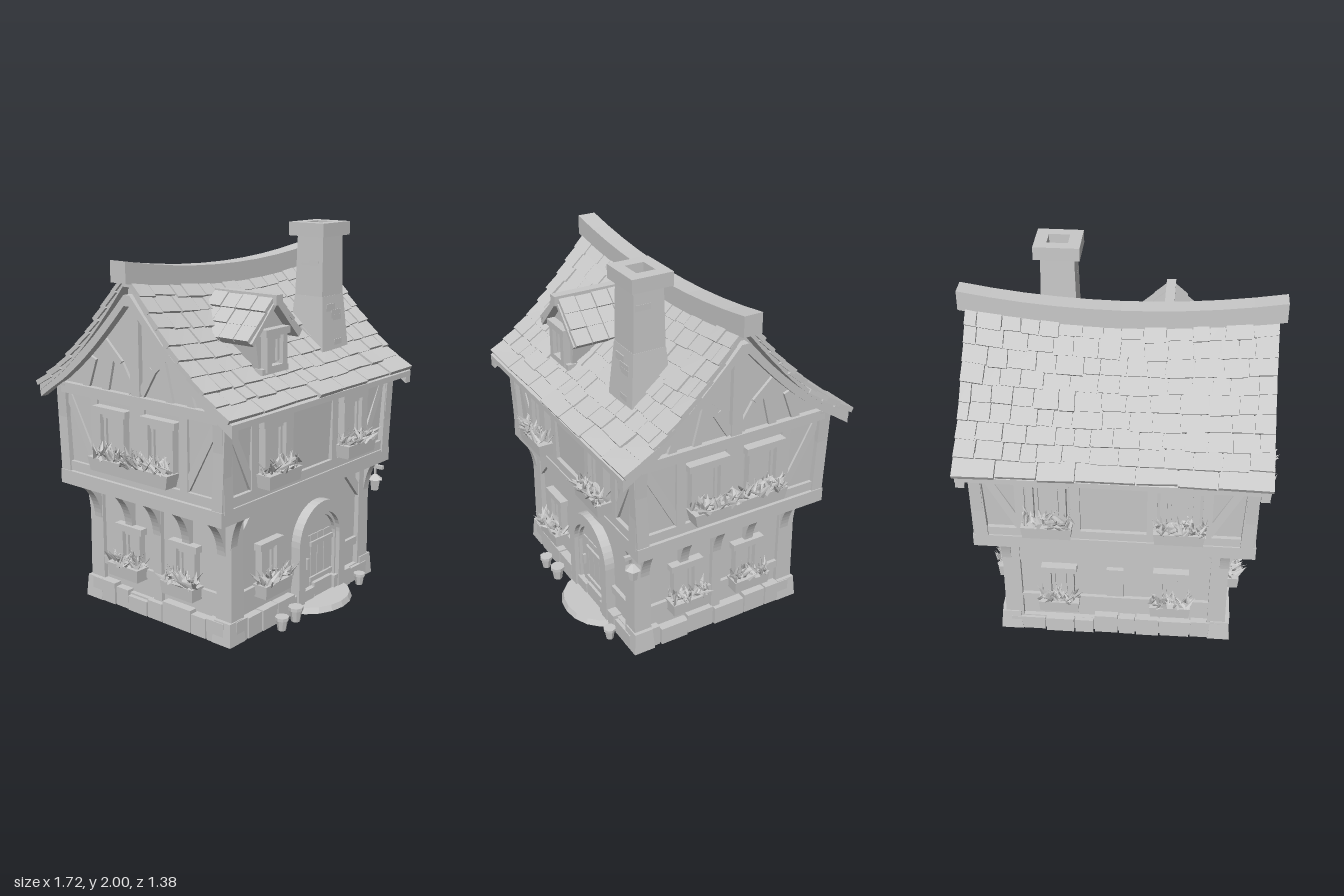
import * as THREE from 'three';
import { mergeGeometries } from 'three/addons/utils/BufferGeometryUtils.js';

const clay = new THREE.MeshStandardMaterial({ color: 0xc8c8c8, flatShading: true });
clay.name = 'light grey';

let seed = 7;
const rnd = (a = 0, b = 1) => {
  seed = (seed * 16807) % 2147483647;
  return a + (b - a) * (seed / 2147483647);
};

function add(parent, name, geo, x = 0, y = 0, z = 0, rx = 0, ry = 0, rz = 0) {
  const m = new THREE.Mesh(geo, clay);
  m.name = name;
  m.position.set(x, y, z);
  m.rotation.set(rx, ry, rz);
  parent.add(m);
  return m;
}
const box = (p, name, w, h, d, x, y, z, rz = 0) =>
  add(p, name, new THREE.BoxGeometry(w, h, d), x, y, z, 0, 0, rz);

function group(parent, name, x = 0, y = 0, z = 0, ry = 0) {
  const g = new THREE.Group();
  g.name = name;
  g.position.set(x, y, z);
  g.rotation.y = ry;
  parent.add(g);
  return g;
}
const polygon = pts => new THREE.Shape(pts.map(p => new THREE.Vector2(...p)));
const extrude = (shape, depth, steps = 1) =>
  new THREE.ExtrudeGeometry(shape, { depth, steps, bevelEnabled: false, curveSegments: 10 });

// Profile given as [z, y], extruded along x and centred
const extrudeX = (pts, depth, steps = 1) =>
  extrude(polygon(pts.map(([z, y]) => [-z, y])), depth, steps).rotateY(Math.PI / 2).translate(-depth / 2, 0, 0);

// Box whose top is scaled, standing on y = 0
function taper(w, h, d, kx, kz = kx) {
  const g = new THREE.BoxGeometry(w, h, d).translate(0, h / 2, 0);
  const p = g.attributes.position;
  for (let i = 0; i < p.count; i++) if (p.getY(i) > h / 2) p.setXYZ(i, p.getX(i) * kx, h, p.getZ(i) * kz);
  return g;
}

// The roof sags in the middle of the ridge
function sag(g) {
  const p = g.attributes.position;
  for (let i = 0; i < p.count; i++) {
    const k = THREE.MathUtils.clamp((p.getY(i) - 1.18) / 0.6, 0, 1);
    p.setY(i, p.getY(i) - 0.07 * k * (1 - (p.getX(i) / 0.8) ** 2));
  }
  g.computeVertexNormals();
  return g;
}

// Timber between two points on a wall
function timber(p, x0, y0, x1, y1, w = 0.05, d = 0.04, z = 0) {
  box(p, 'timber', Math.hypot(x1 - x0, y1 - y0), w, d, (x0 + x1) / 2, (y0 + y1) / 2, z, Math.atan2(y1 - y0, x1 - x0));
}

function windowUnit(p, x, y, w, h, z = 0) {
  const g = group(p, 'window', x, y, z);
  box(g, 'pane', w - 0.07, h - 0.05, 0.008, 0, 0, 0.004);
  for (const s of [-1, 1]) {
    box(g, 'windowJamb', 0.035, h, 0.04, s * (w / 2 - 0.018), 0, 0.02);
    box(g, 'sash', 0.015, h - 0.06, 0.02, s * (w / 2 - 0.05), 0, 0.012);
  }
  box(g, 'lintel', w + 0.03, 0.035, 0.05, 0, h / 2, 0.02);
  box(g, 'sill', w, 0.03, 0.04, 0, -h / 2, 0.02);
  box(g, 'sashTop', w - 0.06, 0.02, 0.02, 0, h / 2 - 0.03, 0.012);
}

function flowerBox(p, x, y, w, z = 0) {
  const g = group(p, 'flowerBox', x, y, z);
  add(g, 'planter', taper(w * 0.94, 0.07, 0.075, 1.06, 1.15), 0, 0, 0.05);
  const leaves = [];
  for (let i = 0; i < w * 210; i++) {
    const leaf = new THREE.ConeGeometry(0.017, rnd(0.06, 0.09), 4).scale(1, 1, 0.4).translate(0, 0.03, 0);
    leaf.rotateY(rnd(0, 6)).rotateX(rnd(-0.7, 1.1)).rotateZ(rnd(-1, 1));
    leaves.push(leaf.translate(rnd(-0.47, 0.47) * w, rnd(0.065, 0.1), rnd(0.02, 0.1)));
  }
  add(g, 'foliage', mergeGeometries(leaves));
}

// Curved bracket under the overhang, reaching outward along z
function bracket(p, x, y, reach, h, w = 0.05) {
  const s = new THREE.Shape();
  s.moveTo(0, 0);
  s.lineTo(-0.025, 0);
  s.quadraticCurveTo(-0.035, h * 0.65, -reach, h);
  s.lineTo(0, h);
  add(p, 'bracket', extrude(s, w).rotateY(Math.PI / 2), x - w / 2, y, 0);
}

function arch(r, spring) {
  const s = new THREE.Shape();
  s.moveTo(-r, 0);
  s.lineTo(r, 0);
  s.lineTo(r, spring);
  s.absarc(0, spring, r, 0, Math.PI, false);
  return s;
}

function lowerFloor(root) {
  const g = group(root, 'lowerFloor', 0, 0, 0.015);
  box(g, 'lowerWalls', 1.16, 0.66, 0.93, 0, 0.33, 0);
  box(g, 'foundation', 1.21, 0.09, 0.98, 0, 0.045, 0);
  const wall = { front: [0, 0.465, 0.58], right: [1, 0.58, 0.465], back: [2, 0.465, 0.58], left: [3, 0.58, 0.465] };
  for (const [name, [q, out, half]] of Object.entries(wall)) {
    const a = q * Math.PI / 2, side = q % 2 === 1;
    const f = group(g, name + 'LowerWall', Math.sin(a) * out, 0, Math.cos(a) * out, a);
    for (let x = -half; x < half - 0.04;) {
      const w = Math.min(rnd(0.09, 0.2), half - x), h = rnd(0.08, 0.12);
      box(f, 'foundationStone', w - 0.008, h, 0.05, x + w / 2, h / 2, rnd(0.012, 0.026), 0);
      x += w;
    }
    if (name === 'front') {
      timber(f, -half, 0.225, -0.08, 0.225, 0.045);
      timber(f, 0.34, 0.225, half, 0.225, 0.045);
    } else timber(f, -half, 0.225, half, 0.225, 0.045);
    for (const s of [-1, 1]) {
      if (side || name === 'back' || s < 0) {
        const x = side ? s * 0.19 : s * 0.3;
        windowUnit(f, x, 0.345, 0.16, 0.21);
        flowerBox(f, x, 0.19, 0.22);
      }
      if (!side) timber(f, s * 0.56, 0.47, s * 0.4, 0.65, 0.05, 0.04);
    }
    if (side) {
      timber(f, 0, 0.1, 0, 0.66, 0.055, 0.05);
      for (const x of [-0.43, -0.2, 0, 0.2, 0.43]) bracket(f, x, 0.46, 0.13, 0.2);
    } else for (const x of [-0.58, 0.58]) bracket(f, x, 0.5, 0.07, 0.16);
    if (name === 'back') box(f, 'hatch', 0.09, 0.19, 0.03, 0, 0.36, 0.01);
  }
  // Corner posts on wide stone feet
  for (const x of [-1, 1]) for (const z of [-1, 1]) {
    add(g, 'cornerPost', taper(0.1, 0.66, 0.1, 0.9), x * 0.555, 0, z * 0.445);
    add(g, 'cornerStone', taper(0.12, 0.12, 0.12, 0.85), x * 0.573, 0, z * 0.45);
  }
  return g;
}

function entrance(root) {
  const g = group(root, 'entrance', 0.13, 0, 0.47);
  const frame = arch(0.21, 0.355);
  frame.holes.push(arch(0.155, 0.345));
  add(g, 'doorFrame', extrude(frame, 0.065));
  const trim = arch(0.165, 0.345);
  trim.holes.push(arch(0.145, 0.335));
  add(g, 'doorTrim', extrude(trim, 0.04));
  add(g, 'door', extrude(arch(0.15, 0.34), 0.02));
  for (const x of [-0.09, -0.03, 0.03, 0.09]) box(g, 'doorPlank', 0.055, 0.36, 0.008, x, 0.2, 0.022);
  for (const y of [0.13, 0.33]) box(g, 'hinge', 0.2, 0.025, 0.015, 0.03, y, 0.03);
  box(g, 'handle', 0.015, 0.06, 0.025, -0.1, 0.23, 0.03);
  add(g, 'doorstep', new THREE.CylinderGeometry(0.225, 0.24, 0.03, 18).scale(1, 1, 0.82), 0, 0.015, 0.005);
  for (const [x, z, s] of [[-0.43, 0.12, 1], [-0.3, 0.11, 1.1], [0.31, 0.1, 0.9]]) {
    const pot = group(g, 'pot', x, 0, z);
    add(pot, 'potBody', new THREE.CylinderGeometry(0.032 * s, 0.022 * s, 0.06 * s, 8), 0, 0.03 * s, 0);
    add(pot, 'potRim', new THREE.CylinderGeometry(0.037 * s, 0.037 * s, 0.016 * s, 8), 0, 0.065 * s, 0);
  }
  // Hanging lantern on the corner post
  const l = group(root, 'lantern', 0.635, 0, 0.53);
  box(l, 'lanternArm', 0.02, 0.02, 0.12, 0, 0.635, -0.01);
  box(l, 'lanternStay', 0.08, 0.02, 0.02, -0.03, 0.635, -0.05);
  box(l, 'lanternHook', 0.01, 0.05, 0.01, 0, 0.61, 0);
  add(l, 'lanternCap', new THREE.ConeGeometry(0.045, 0.035, 6), 0, 0.578, 0);
  add(l, 'lanternGlass', new THREE.CylinderGeometry(0.032, 0.022, 0.065, 6), 0, 0.53, 0);
}

function upperFloor(root) {
  const g = group(root, 'upperFloor');
  add(g, 'upperWalls', taper(1.39, 0.5, 1.05, 1.01, 1.04), 0, 0.7, 0);
  box(g, 'overhangBeam', 1.46, 0.075, 1.11, 0, 0.695, 0);
  for (let q = 0; q < 4; q++) {
    const side = q % 2 === 1, a = q * Math.PI / 2, out = side ? 0.695 : 0.53, half = side ? 0.53 : 0.69;
    const f = group(g, ['front', 'right', 'back', 'left'][q] + 'UpperWall', Math.sin(a) * out, 0, Math.cos(a) * out, a);
    timber(f, -half, 0.76, half, 0.76, 0.05);
    timber(f, -half, 1.18, half, 1.18, 0.055, 0.05, 0.012);
    for (const s of [-1, 1]) {
      const x = side ? 0.165 : 0.335;
      timber(f, s * (half - 0.01), 0.72, s * (half + 0.01), 1.2, 0.065, 0.06);
      timber(f, s * (x + 0.14), 0.74, s * (x + 0.14), 1.18);
      timber(f, s * (x - 0.14), 0.74, s * (x - 0.14), 1.18);
      timber(f, s * (x + 0.15), 0.8, s * (half - 0.03), 1.14, 0.045, 0.03);
      windowUnit(f, s * x, 0.98, 0.2, 0.25, 0.01);
      if (!side) flowerBox(f, s * x, 0.79, 0.26, 0.01);
      if (side) {
        // Curved gable braces and struts
        timber(f, s * 0.03, 1.22, s * 0.11, 1.35, 0.045);
        timber(f, s * 0.11, 1.35, s * 0.23, 1.46, 0.045);
        timber(f, s * 0.22, 1.2, s * 0.17, 1.4, 0.045);
        timber(f, s * 0.36, 1.2, s * 0.3, 1.36, 0.045);
      }
    }
    if (side) {
      flowerBox(f, 0, 0.8, 0.55, 0.01);
      timber(f, 0, 1.2, 0, 1.76, 0.06, 0.06);
    }
  }
}

function roof(root) {
  const g = group(root, 'roof');
  const slope = new THREE.CatmullRomCurve3(
    [[0.02, 1.78], [0.14, 1.635], [0.3, 1.46], [0.47, 1.305], [0.65, 1.18]].map(([z, y]) => new THREE.Vector3(0, y, z)));
  const pts = slope.getSpacedPoints(8).map(p => [p.z, p.y]);
  const across = drop => [...pts.map(([z, y]) => [-z, y - drop]).reverse(), ...pts.map(([z, y]) => [z, y - drop])];
  add(g, 'roofDeck', sag(extrudeX([...across(0), ...across(0.03).reverse()], 1.54, 10)));
  const inner = pts.filter(p => p[0] < 0.54).map(([z, y]) => [z, y - 0.025]);
  add(g, 'gableWalls', sag(extrudeX([[-0.54, 1.18], ...inner.map(([z, y]) => [-z, y]).reverse(), ...inner, [0.54, 1.18]], 1.4, 10)));
  for (const s of [-1, 1])
    add(g, 'bargeboards', sag(extrudeX([...across(0.005), ...across(0.065).reverse()], 0.045)), s * 0.745, 0, 0);
  // Overlapping shingle rows; the lowest rows are long slabs
  const tiles = [], rows = 9;
  for (const s of [-1, 1]) for (let r = 0; r < rows; r++) {
    const t = (r + 0.5) / rows, p = slope.getPointAt(t), d = slope.getTangentAt(t);
    const ang = Math.atan2(-d.y, d.z) - 0.1;
    for (let x = -0.785; x < 0.785;) {
      let w = r === rows - 1 ? rnd(0.15, 0.3) : rnd(0.075, 0.15);
      if (x + w > 0.74) w = 0.785 - x;
      const tile = new THREE.BoxGeometry(w - 0.007, rnd(0.018, 0.03), rnd(0.108, 0.135));
      tile.rotateY(rnd(-0.03, 0.03)).rotateX(s * ang).rotateZ(rnd(-0.025, 0.025));
      tiles.push(tile.translate(x + w / 2, p.y + 0.014, s * (p.z + rnd(-0.008, 0.005)) * (s > 0 ? 0.97 : 1)));
      x += w;
    }
  }
  add(g, 'shingles', sag(mergeGeometries(tiles)));
  add(g, 'ridgeBeam', sag(new THREE.BoxGeometry(1.64, 0.105, 0.1, 10).translate(0, 1.817, 0)));
}

function dormer(root) {
  const g = group(root, 'dormer', -0.23, 0, 0);
  add(g, 'dormerWalls', extrude(polygon([[-0.09, 1.3], [0.09, 1.3], [0.125, 1.5], [0, 1.63], [-0.125, 1.5]]), 0.36), 0, 0, 0.09);
  windowUnit(g, 0, 1.425, 0.16, 0.18, 0.45);
  box(g, 'dormerSill', 0.21, 0.03, 0.05, 0, 1.325, 0.455);
  for (const s of [-1, 1]) {
    const side = group(g, 'dormerRoof', s * 0.1, 1.575, 0);
    side.rotation.z = -s * 0.8;
    box(side, 'dormerDeck', 0.27, 0.022, 0.37, 0, -0.01, 0.3);
    for (let i = 0; i < 4; i++) for (let j = 0; j < 3; j++)
      box(side, 'dormerShingle', 0.1, 0.02, 0.088, s * (j * 0.09 - 0.09), 0.01 + rnd(0, 0.008), 0.155 + i * 0.093, s * 0.08);
  }
  box(g, 'dormerRidge', 0.05, 0.05, 0.39, 0, 1.67, 0.305);
}

function chimney(root) {
  const g = group(root, 'chimney', 0.35, 0, 0.32);
  add(g, 'chimneyBase', taper(0.25, 0.38, 0.24, 0.76, 0.74), 0, 1.24, 0);
  add(g, 'chimneyShaft', taper(0.19, 0.34, 0.175, 0.92), 0, 1.6, 0);
  const cap = polygon([[-0.12, -0.11], [0.12, -0.11], [0.12, 0.11], [-0.12, 0.11]]);
  cap.holes.push(polygon([[-0.055, -0.05], [0.055, -0.05], [0.055, 0.05], [-0.055, 0.05]]));
  add(g, 'chimneyCap', extrude(cap, 0.07), 0, 1.93, -0.005, -Math.PI / 2);
  for (let i = 0; i < 16; i++) {
    const y = rnd(1.32, 1.86), r = y < 1.6 ? 0.115 - (y - 1.24) * 0.07 : 0.087;
    const a = (i % 4) * Math.PI / 2, side = group(g, 'chimneyStones', 0, y, 0, a);
    box(side, 'stone', rnd(0.05, 0.09), rnd(0.03, 0.05), 0.02, rnd(-0.04, 0.04), 0, r - 0.006);
  }
}

export function createModel() {
  seed = 7;
  const root = new THREE.Group();
  root.name = 'cottage';
  for (const part of [lowerFloor, entrance, upperFloor, roof, dormer, chimney]) part(root);
  return root;
}
